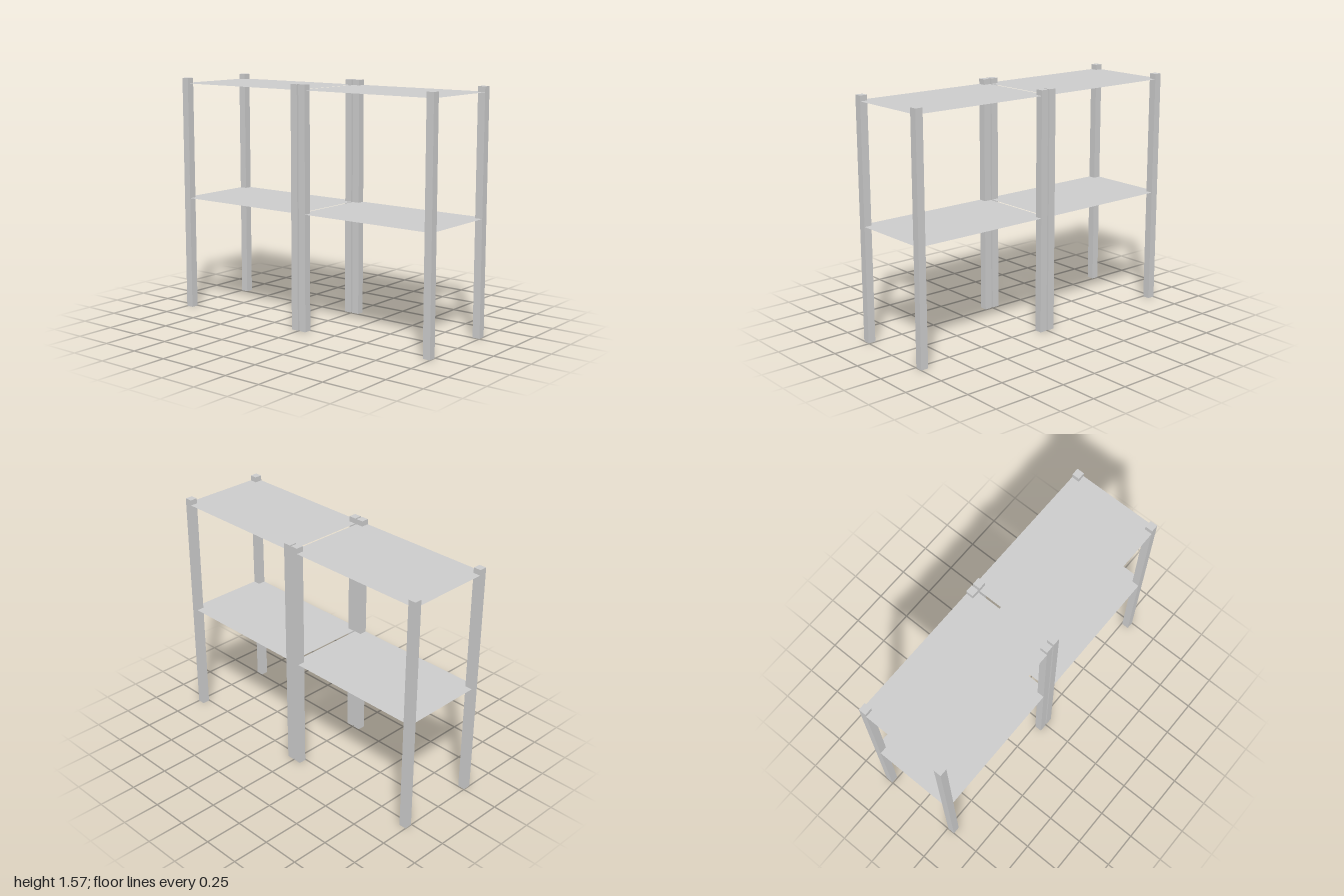
import * as THREE from 'three';

const WIDTH = 0.61, HEIGHT = 1.57, POST = 0.05, GAP = 0.012;
const LENGTH = (2 - GAP) / 2;
const SHELF_HEIGHTS = [0.76, 1.535];

const postMaterial = new THREE.MeshStandardMaterial({ color: 0xcccccc, flatShading: true });
const shelfMaterial = new THREE.MeshStandardMaterial({ color: 0xcccccc, side: THREE.DoubleSide });

// One rack: four square posts and two thin shelves
function createRack() {
  const rack = new THREE.Group();
  const postGeometry = new THREE.BoxGeometry(POST, HEIGHT, POST);
  const shelfGeometry = new THREE.PlaneGeometry(WIDTH, LENGTH).rotateX(-Math.PI / 2);

  for (const sx of [-1, 1]) {
    for (const sz of [-1, 1]) {
      const post = new THREE.Mesh(postGeometry, postMaterial);
      post.name = (sz > 0 ? 'front' : 'back') + (sx > 0 ? 'Left' : 'Right') + 'Post';
      post.position.set(sx * (WIDTH - POST) / 2, HEIGHT / 2, sz * (LENGTH - POST) / 2);
      rack.add(post);
    }
  }

  SHELF_HEIGHTS.forEach((y, i) => {
    const shelf = new THREE.Mesh(shelfGeometry, shelfMaterial);
    shelf.name = i === 0 ? 'lowerShelf' : 'upperShelf';
    shelf.position.y = y;
    rack.add(shelf);
  });
  return rack;
}

export function createModel() {
  const model = new THREE.Group();
  model.name = 'shelving';
  // Two identical racks end to end with a narrow gap
  for (const s of [-1, 1]) {
    const rack = createRack();
    rack.name = s > 0 ? 'frontRack' : 'backRack';
    rack.position.z = s * (LENGTH + GAP) / 2;
    model.add(rack);
  }
  return model;
}
